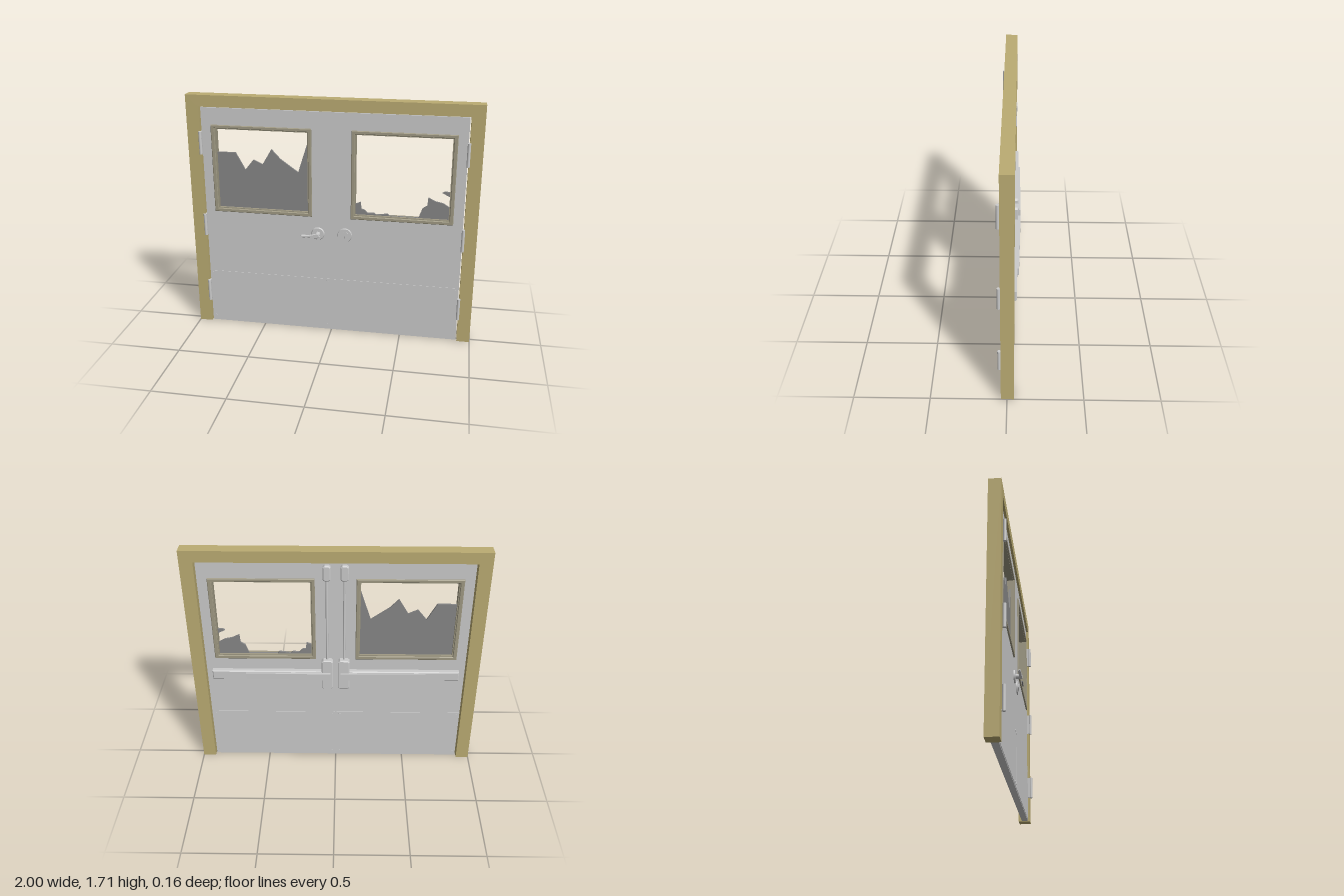
import * as THREE from 'three';

const mat = (color) => new THREE.MeshStandardMaterial({ color, flatShading: false });
const METAL = mat(0xcccccc);
const WOOD = mat(0xbbac73);
const TRIM = mat(0xa09a84);
const GLASS = mat(0x878787);

const DOOR_BACK = -0.02, DOOR_FRONT = 0.025;

function add(parent, name, geometry, material = METAL) {
  const mesh = new THREE.Mesh(geometry, material);
  mesh.name = name;
  parent.add(mesh);
  return mesh;
}

// Box given by its limits on each axis
function box(parent, name, [x0, x1], [y0, y1], [z0, z1], material) {
  const g = new THREE.BoxGeometry(Math.abs(x1 - x0), y1 - y0, z1 - z0);
  g.translate((x0 + x1) / 2, (y0 + y1) / 2, (z0 + z1) / 2);
  return add(parent, name, g, material);
}

// Disc or rod whose axis runs along z
function disc(parent, name, x, y, z0, z1, r, sides = 24, r1 = r) {
  const g = new THREE.CylinderGeometry(r1, r, z1 - z0, sides);
  g.rotateX(Math.PI / 2).translate(x, y, (z0 + z1) / 2);
  return add(parent, name, g);
}

const polygon = (pts) => new THREE.Shape(pts.map(([x, y]) => new THREE.Vector2(x, y)));
const rect = (x0, x1, y0, y1) => polygon([[x0, y0], [x1, y0], [x1, y1], [x0, y1]]);

// Flat outline extruded from z0 to z1, optionally with holes and a chamfer
function slab(parent, name, shape, z0, z1, material, holes = [], bevel = 0) {
  shape.holes.push(...holes);
  const g = new THREE.ExtrudeGeometry(shape, {
    depth: z1 - z0 - 2 * bevel, bevelEnabled: bevel > 0, bevelSize: bevel,
    bevelThickness: bevel, bevelOffset: -bevel, bevelSegments: 1, curveSegments: 16,
  });
  g.translate(0, 0, z0 + bevel);
  return add(parent, name, g, material);
}

// Case with cut corners, standing on the back face of a door
function latchCase(parent, name, x, w, y0, y1, z) {
  const c = 0.012, a = x - w / 2, b = x + w / 2;
  const outline = polygon([[a + c, y0], [b - c, y0], [b, y0 + c], [b, y1 - c],
    [b - c, y1], [a + c, y1], [a, y1 - c], [a, y0 + c]]);
  return slab(parent, name, outline, z, DOOR_BACK + 0.006, METAL, [], 0.006);
}

function door(side) {
  const g = new THREE.Group();
  g.name = side > 0 ? 'leftDoor' : 'rightDoor';
  const span = (a, b) => (side > 0 ? [a, b] : [-b, -a]);

  // Leaf with a window opening
  slab(g, 'doorLeaf', rect(...span(0.0005, 0.903), 0.002, 1.624), DOOR_BACK, DOOR_FRONT, METAL,
    [rect(...span(0.15, 0.82), 0.895, 1.492)]);

  // Stepped window trim
  slab(g, 'windowTrim', rect(...span(0.136, 0.836), 0.88, 1.506), -0.03, 0.035, TRIM,
    [rect(...span(0.161, 0.809), 0.905, 1.483)], 0.004);
  slab(g, 'windowBead', rect(...span(0.155, 0.815), 0.9, 1.488), -0.02, 0.025, TRIM,
    [rect(...span(0.166, 0.803), 0.911, 1.477)]);

  // Kick plates and their rivets on both faces
  for (const [z0, z1, out] of [[DOOR_FRONT, DOOR_FRONT + 0.003, 1], [DOOR_BACK - 0.003, DOOR_BACK, -1]]) {
    box(g, 'kickPlate', span(0.006, 0.9), [0.01, 0.41], [z0, z1]);
    for (const x of [0.03, 0.88]) for (const y of [0.04, 0.39]) {
      const face = out > 0 ? z1 : z0;
      disc(g, 'rivet', side * x, y, face - 0.002, face + 0.002, 0.008, 12);
    }
  }

  // Hinge knuckles with end caps
  for (const y of [0.26, 0.78, 1.38]) {
    const barrel = add(g, 'hinge', new THREE.CylinderGeometry(0.011, 0.011, 0.16, 16));
    barrel.position.set(side * 0.907, y, 0.052);
    box(g, 'hingeLeaf', span(0.899, 0.909), [y - 0.078, y + 0.078], [0.02, 0.05]);
  }

  // Push bar: housing along the door and a raised pad towards the middle
  slab(g, 'barHousing', rect(...span(0.05, 0.86), 0.722, 0.795), -0.06, DOOR_BACK, METAL, [], 0.006);
  const pad = new THREE.BoxGeometry(0.59, 0.05, 0.03);
  const p = pad.attributes.position;
  for (let i = 0; i < p.count; i++) {
    // the pad slopes down towards the hinge side
    if (p.getX(i) * side > 0 && p.getZ(i) < 0) p.setZ(i, -0.007);
  }
  pad.computeVertexNormals();
  add(g, 'pushPad', pad).position.set(side * 0.33, 0.76, -0.064);

  // Vertical rod with its lower case and top latch
  latchCase(g, 'lowerCase', side * 0.058, 0.078, 0.645, 0.885, -0.062);
  latchCase(g, 'topLatch', side * 0.058, 0.052, 1.5, 1.61, -0.05);
  const rod = add(g, 'latchRod', new THREE.CylinderGeometry(0.008, 0.008, 0.64, 12));
  rod.position.set(side * 0.058, 1.2, -0.031);
  return g;
}

function leverHandle() {
  const g = new THREE.Group();
  g.name = 'leverHandle';
  disc(g, 'leverRosette', -0.095, 0.755, DOOR_FRONT, 0.035, 0.047, 24, 0.042);
  disc(g, 'leverHub', -0.095, 0.755, 0.03, 0.078, 0.018);
  slab(g, 'lever', polygon([[-0.09, 0.739], [-0.075, 0.752], [-0.085, 0.77], [-0.11, 0.768],
    [-0.15, 0.757], [-0.205, 0.755], [-0.21, 0.748], [-0.205, 0.741], [-0.15, 0.739]]),
  0.062, 0.08, METAL, [], 0.003);
  return g;
}

function lock() {
  const g = new THREE.Group();
  g.name = 'lock';
  const x = 0.095, y = 0.755;
  disc(g, 'lockPlate', x, y, DOOR_FRONT, 0.033, 0.051, 28, 0.048);
  disc(g, 'lockCylinder', x + 0.003, y, 0.03, 0.037, 0.026);
  disc(g, 'lockPlug', x + 0.003, y + 0.006, 0.036, 0.039, 0.009, 16);
  box(g, 'keySlot', [x + 0.001, x + 0.005], [y - 0.02, y - 0.004], [0.036, 0.038], GLASS);
  return g;
}

export function createModel() {
  const model = new THREE.Group();
  model.name = 'brokenDoubleDoor';

  // Door frame: one outline for jambs and head
  slab(model, 'doorFrame', polygon([[-1, 0], [-0.91, 0], [-0.91, 1.63], [0.91, 1.63],
    [0.91, 0], [1, 0], [1, 1.71], [-1, 1.71]]), -0.045, 0.04, WOOD);

  for (const side of [-1, 1]) model.add(door(side));
  model.add(leverHandle(), lock());

  // Broken glass panes
  const pane = (name, pts) => slab(model, name, polygon(pts), -0.005, 0.008, GLASS);
  pane('rightGlass', [[-0.81, 0.905], [-0.16, 0.905], [-0.16, 1.425], [-0.235, 1.19], [-0.36, 1.28],
    [-0.42, 1.345], [-0.485, 1.235], [-0.55, 1.265], [-0.61, 1.19], [-0.675, 1.31], [-0.81, 1.31]]);
  pane('leftGlass', [[0.16, 0.905], [0.81, 0.905], [0.81, 0.995], [0.76, 1.025], [0.71, 1.035],
    [0.66, 1.06], [0.655, 1.0], [0.625, 0.98], [0.6, 0.912], [0.4, 0.912], [0.39, 0.926],
    [0.31, 0.914], [0.295, 0.926], [0.25, 0.922], [0.23, 0.945], [0.207, 0.95],
    [0.2, 1.0], [0.16, 0.983]]);
  pane('glassShard', [[0.753, 1.098], [0.81, 1.07], [0.81, 1.105], [0.77, 1.108]]);
  return model;
}
